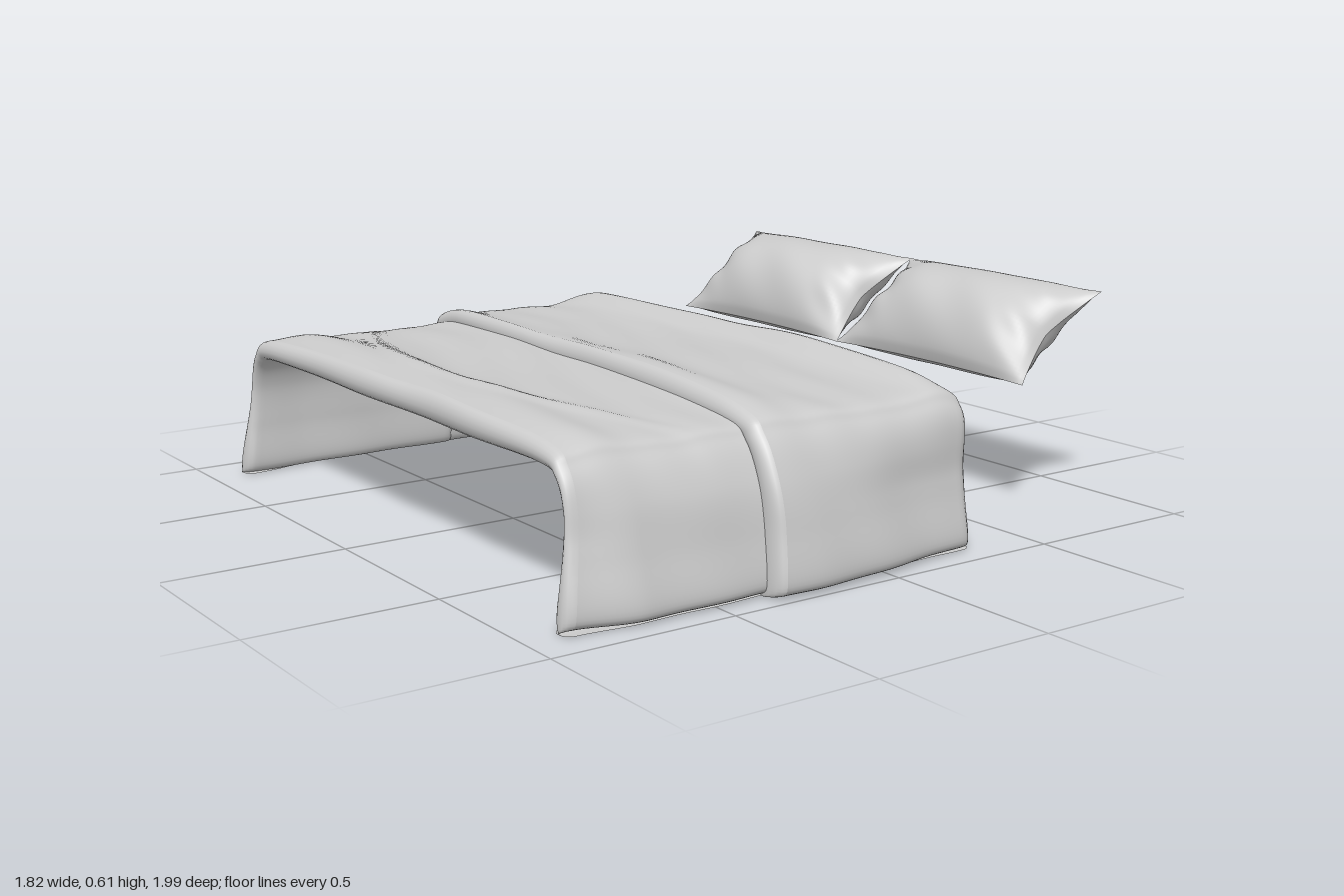
import * as THREE from 'three';

const material = new THREE.MeshStandardMaterial({ color: 0xcccccc, side: THREE.DoubleSide });

const smooth = THREE.MathUtils.smoothstep;
const bump = (x, c, w) => Math.exp(-(((x - c) / w) ** 2));

// Grid surface from point(j, k); keep(j, k) may leave cells open.
function gridMesh(name, rows, cols, point, keep = () => true) {
  const pos = [], idx = [];
  for (let j = 0; j <= rows; j++)
    for (let k = 0; k <= cols; k++) pos.push(...point(j, k));
  for (let j = 0; j < rows; j++)
    for (let k = 0; k < cols; k++) {
      if (!keep(j, k)) continue;
      const a = j * (cols + 1) + k, b = a + cols + 1;
      idx.push(a, a + 1, b, a + 1, b + 1, b);
    }
  const geo = new THREE.BufferGeometry();
  geo.setAttribute('position', new THREE.Float32BufferAttribute(pos, 3));
  geo.setIndex(idx);
  geo.computeVertexNormals();
  const mesh = new THREE.Mesh(geo, material);
  mesh.name = name;
  return mesh;
}

// Half profiles (z, y) from the hem up to the middle of the bed.
const OUTER = [[0.93, 0.005], [0.995, 0.03], [0.972, 0.16], [0.938, 0.285], [0.878, 0.38], [0.79, 0.42], [0.4, 0.437], [0, 0.437]];
const INNER = [[0.93, 0.005], [0.868, 0.02], [0.865, 0.15], [0.86, 0.27], [0.82, 0.345], [0.74, 0.365], [0.4, 0.365], [0, 0.365]];

function fullCurve(half) {
  const front = half.map(([z, y]) => new THREE.Vector2(z, y));
  const back = half.slice(0, -1).reverse().map(([z, y]) => new THREE.Vector2(-z, y));
  return new THREE.SplineCurve([...front, ...back]);
}

// Blanket draped over front and back, with rolled side hems and an open underside.
function blanket(name, { left, right, scaleZ, scaleY, lift, hemShift }) {
  const outer = fullCurve(OUTER), inner = fullCurve(INNER);
  const rows = 140, across = 48, arc = 8, r = 0.028;
  const ring = [];
  for (let i = 0; i <= across; i++) ring.push({ a: i / across, e: 0, w: 0 });
  for (let i = 1; i < arc; i++) {
    const t = (i / arc) * Math.PI;
    ring.push({ a: 1, e: Math.sin(t), w: (1 - Math.cos(t)) / 2 });
  }
  for (let i = across; i >= 0; i--) ring.push({ a: i / across, e: 0, w: 1 });
  for (let i = 1; i < arc; i++) {
    const t = (i / arc) * Math.PI;
    ring.push({ a: 0, e: -Math.sin(t), w: (1 + Math.cos(t)) / 2 });
  }
  ring.push(ring[0]);

  const point = (j, k) => {
    const { a, e, w } = ring[k];
    const p = outer.getPoint(j / rows).lerp(inner.getPoint(j / rows), w);
    const out = 1 - w;
    let z = p.x * (1 - (1 - scaleZ) * (0.2 + 0.8 * out)), y = p.y * scaleY;
    const top = smooth(y, 0.2, 0.4), hang = 1 - top;
    const x0 = left(z, y) + r, x1 = right(z, y) - r;
    const x = x0 + (x1 - x0) * a + e * r;
    // soft creases on top, faint slanted folds in the hanging ends
    y += top * lift(x, z) * (1 - 0.7 * smooth(Math.abs(z), 0.7, 0.9));
    y += top * out * 0.003 * Math.sin(x * 31 + 4 * Math.sin(z * 3)) * Math.cos(z * 5 + x * 9);
    z += Math.sign(z) * hang * 0.005 * Math.sin(x * 17 + y * 12 + z) * Math.cos(x * 8 - y * 5);
    z -= Math.sign(z) * hang * hemShift(x, z) * (0.2 + 0.8 * out);
    return [x, Math.max(y, 0), z];
  };
  const keep = (j, k) => {
    const { a, w } = ring[k];
    if (w < 1) return true;
    const z = inner.getPoint(j / rows).x;
    const ragged = 0.03 * Math.sin(j * 0.6) + 0.02 * Math.sin(j * 1.3 + k);
    return Math.abs(z) > 0.74 + ragged || Math.abs(a - 0.5) > 0.38 + ragged;
  };
  return gridMesh(name, rows, ring.length - 1, point, keep);
}

// Cushion with pinched corners, leaning back, partly open behind.
function pillow(name, zCentre, seed) {
  const A = new THREE.Vector2(0.625, 0.37), B = new THREE.Vector2(0.918, 0.597);
  const n = new THREE.Vector2(-0.61, 0.79);
  const U = 60, V = 36, half = 0.388;
  const side = sign => (j, k) => {
    const u = j / U * 2 - 1, v = k / V;
    const cross = Math.pow(Math.max(0, Math.sin(Math.PI * v)), 0.65);
    const along = Math.pow(Math.max(0, 1 - Math.abs(u) ** 3), 0.75);
    const crease = smooth(Math.abs(u), 0.5, 0.85) * 0.01 * Math.sin(v * 19 + u * 7 + seed)
      + 0.003 * Math.sin(u * 9 + v * 8 + seed);
    const d = cross * along * (sign * 0.12 + crease);
    // seams draw inwards between the corners
    const vv = v + (0.5 - v) * 0.05 * (1 - u * u);
    const x = A.x + (B.x - A.x) * vv + n.x * d;
    const y = A.y + (B.y - A.y) * vv + n.y * d;
    // end seams form a shallow V
    const notch = 1 - Math.abs(2 * v - 1) ** 1.3;
    const z = u * (half - 0.06 * notch * u * u);
    return [Math.max(x, 0.622), Math.max(y, 0.355), z + zCentre];
  };
  const keepBack = (j, k) => {
    const u = Math.abs((j + 0.5) / U * 2 - 1), v = (k + 0.5) / V;
    const ragged = 0.04 * Math.sin(j * 0.9 + seed) + 0.03 * Math.sin(j * 2.1 + k * 0.7);
    return u > 0.72 + ragged || v < 0.45 + ragged || v > 0.9 + ragged;
  };
  const group = new THREE.Group();
  group.name = name;
  group.add(gridMesh(name + 'Front', U, V, (j, k) => side(1)(U - j, k)));
  group.add(gridMesh(name + 'Back', U, V, side(-1), keepBack));
  return group;
}

export function createModel() {
  const model = new THREE.Group();
  model.name = 'bedding';

  // lower blanket, tucked under the upper one
  model.add(blanket('lowerBlanket', {
    left: (z, y) => -0.872 - 0.032 * (1 - smooth(y, 0, 0.28)) + 0.003 * Math.sin(z * 11),
    right: () => -0.2,
    scaleZ: 0.95, scaleY: 0.975,
    lift: (x, z) => 0.014 * bump(x, -0.76, 0.09) - 0.006 * bump(x, -0.5, 0.15)
      + 0.01 * bump(x, -0.72 + 0.35 * z * z, 0.03) * bump(z, 0, 0.75),
    hemShift: x => 0.035 * smooth(-x, 0.7, 0.9),
  }));

  // upper blanket, with a slightly slanted edge over the lower one
  model.add(blanket('upperBlanket', {
    left: (z, y) => -0.307 - 0.053 * z - 0.01 * (1 - smooth(y, 0, 0.2)) * smooth(z, 0.8, 1),
    right: (z, y) => 0.33 - 0.022 * smooth(Math.abs(z), 0.85, 1) + 0.003 * Math.sin(z * 15 + y * 12),
    scaleZ: 1, scaleY: 1,
    lift: (x, z) => 0.025 * bump(x, -0.29, 0.1) + 0.03 * bump(x, 0.25, 0.05) - 0.006 * bump(x, 0.08, 0.12)
      - 0.03 * smooth(x, 0.27, 0.33) + 0.003 * Math.sin(z * 6),
    hemShift: (x, z) => (z > 0 ? 0.06 : 0.035) * smooth(x, -0.25, 0.33),
  }));

  model.add(pillow('frontPillow', 0.39, 0.4));
  model.add(pillow('backPillow', -0.38, 2.6));
  return model;
}
